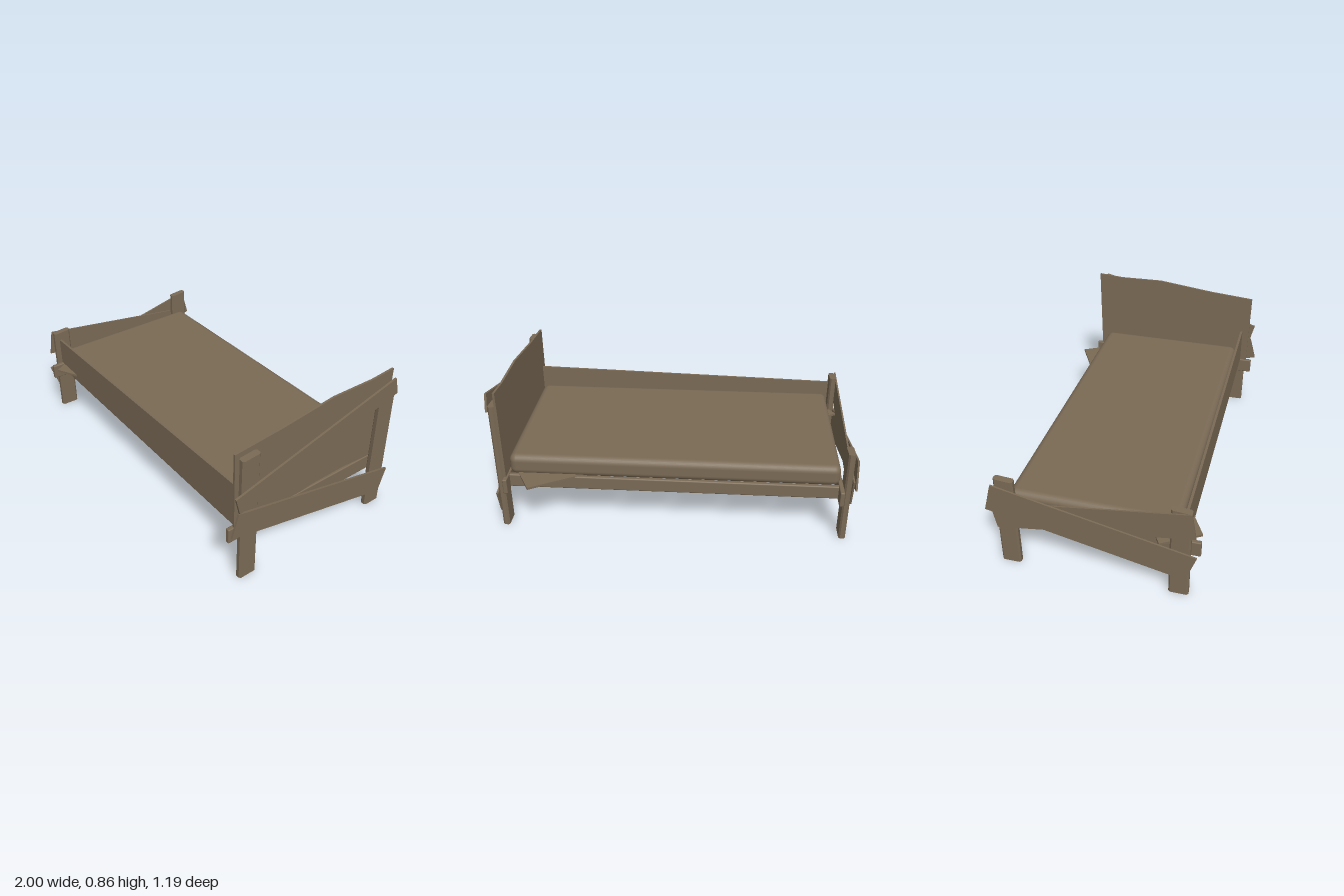
import * as THREE from 'three';
import { RoundedBoxGeometry } from 'three/addons/geometries/RoundedBoxGeometry.js';

const wood = new THREE.MeshStandardMaterial({ color: 0x7a6a55 });
wood.name = 'brown wood';

export function createModel() {
  const bed = new THREE.Group();
  bed.name = 'bed';

  const add = (name, geometry) => {
    const mesh = new THREE.Mesh(geometry, wood);
    mesh.name = name;
    bed.add(mesh);
    return mesh;
  };

  const extrude = (points, depth) => new THREE.ExtrudeGeometry(
    new THREE.Shape(points.map(([a, b]) => new THREE.Vector2(a, b))),
    { depth, bevelEnabled: false });

  // Board standing across the bed: [z, y] outline, from x0 to x1
  const crossBoard = (name, outline, x0, x1) => {
    const g = extrude(outline.map(([z, y]) => [-z, y]), x1 - x0);
    g.rotateY(Math.PI / 2);
    g.translate(x0, 0, 0);
    return add(name, g);
  };

  // Lying board: [x, z] outline, from y0 to y1
  const flatBoard = (name, outline, y0, y1) => {
    const g = extrude(outline.map(([x, z]) => [x, -z]), y1 - y0);
    g.rotateX(-Math.PI / 2);
    g.translate(0, y0, 0);
    return add(name, g);
  };

  // Softly rounded beam between two corners
  const beam = (name, a, b, radius) => {
    const g = new RoundedBoxGeometry(b[0] - a[0], b[1] - a[1], b[2] - a[2], 3, radius);
    g.translate((a[0] + b[0]) / 2, (a[1] + b[1]) / 2, (a[2] + b[2]) / 2);
    return add(name, g);
  };

  // Posts with chamfered corners and slightly sloping tops
  const post = (name, x, z, height) => {
    const w = 0.019, d = 0.053, c = 0.009;
    const outline = [
      [-w + c, -d], [w - c, -d], [w, -d + c], [w, d - c],
      [w - c, d], [-w + c, d], [-w, d - c], [-w, -d + c],
    ].map(([px, pz]) => [x + px, z + pz]);
    const mesh = flatBoard(name, outline, 0, height);
    const p = mesh.geometry.attributes.position;
    for (let i = 0; i < p.count; i++) {
      if (p.getY(i) > 0.1) p.setY(i, p.getY(i) - 0.08 * (p.getZ(i) - z));
    }
    mesh.geometry.computeVertexNormals();
  };
  for (const [side, z] of [['front', 0.475], ['back', -0.443]]) {
    post(`${side}HeadPost`, 0.967, z, 0.77);
    post(`${side}FootPost`, -0.961, z, 0.55);
  }

  // Mattress
  beam('mattress', [-0.925, 0.315, -0.45], [0.925, 0.44, 0.465], 0.04);

  // Frame rails and end beams
  beam('frontRail', [-0.925, 0.25, 0.458], [0.93, 0.33, 0.48], 0.008);
  beam('backRail', [-0.925, 0.25, -0.467], [0.93, 0.33, -0.44], 0.008);
  beam('headBeam', [0.922, 0.245, -0.535], [0.947, 0.335, 0.575], 0.006);
  beam('footBeam', [-0.941, 0.245, -0.535], [-0.916, 0.335, 0.575], 0.006);

  // Tilted board along the front
  const sideBoard = extrude([[-0.94, 0.285], [0, 0.308], [0.935, 0.333], [0.935, 0.55], [-0.94, 0.5]], 0.014);
  sideBoard.translate(0, 0, 0.486);
  add('frontSideBoard', sideBoard);

  // Headboard with an uneven top
  crossBoard('headboard', [
    [0.545, 0.79], [0.27, 0.813], [-0.08, 0.855], [-0.35, 0.85], [-0.505, 0.862],
    [-0.5, 0.335], [-0.39, 0.335], [-0.2, 0.35], [0.02, 0.345], [0.1, 0.335], [0.54, 0.335],
  ].reverse(), 0.932, 0.944);

  // Crooked planks nailed outside the head posts
  crossBoard('upperHeadPlank', [[0.575, 0.57], [0.55, 0.47], [-0.495, 0.742], [-0.47, 0.842]], 0.987, 0.999);
  crossBoard('lowerHeadPlank', [[0.555, 0.47], [0.595, 0.33], [-0.465, 0.08], [-0.51, 0.225]], 0.987, 0.999);

  // Crossed planks outside the foot posts
  crossBoard('outerFootPlank', [[0.565, 0.285], [0.51, 0.125], [-0.547, 0.362], [-0.505, 0.525]], -1, -0.99);
  crossBoard('innerFootPlank', [[0.53, 0.55], [0.555, 0.4], [-0.495, 0.24], [-0.525, 0.4]], -0.988, -0.979);

  // Loose slat lying diagonally under the mattress
  flatBoard('looseSlat', [[-0.87, 0.57], [-0.99, 0.37], [0.79, -0.595], [0.9, -0.4]], 0.32, 0.333);

  return bed;
}
